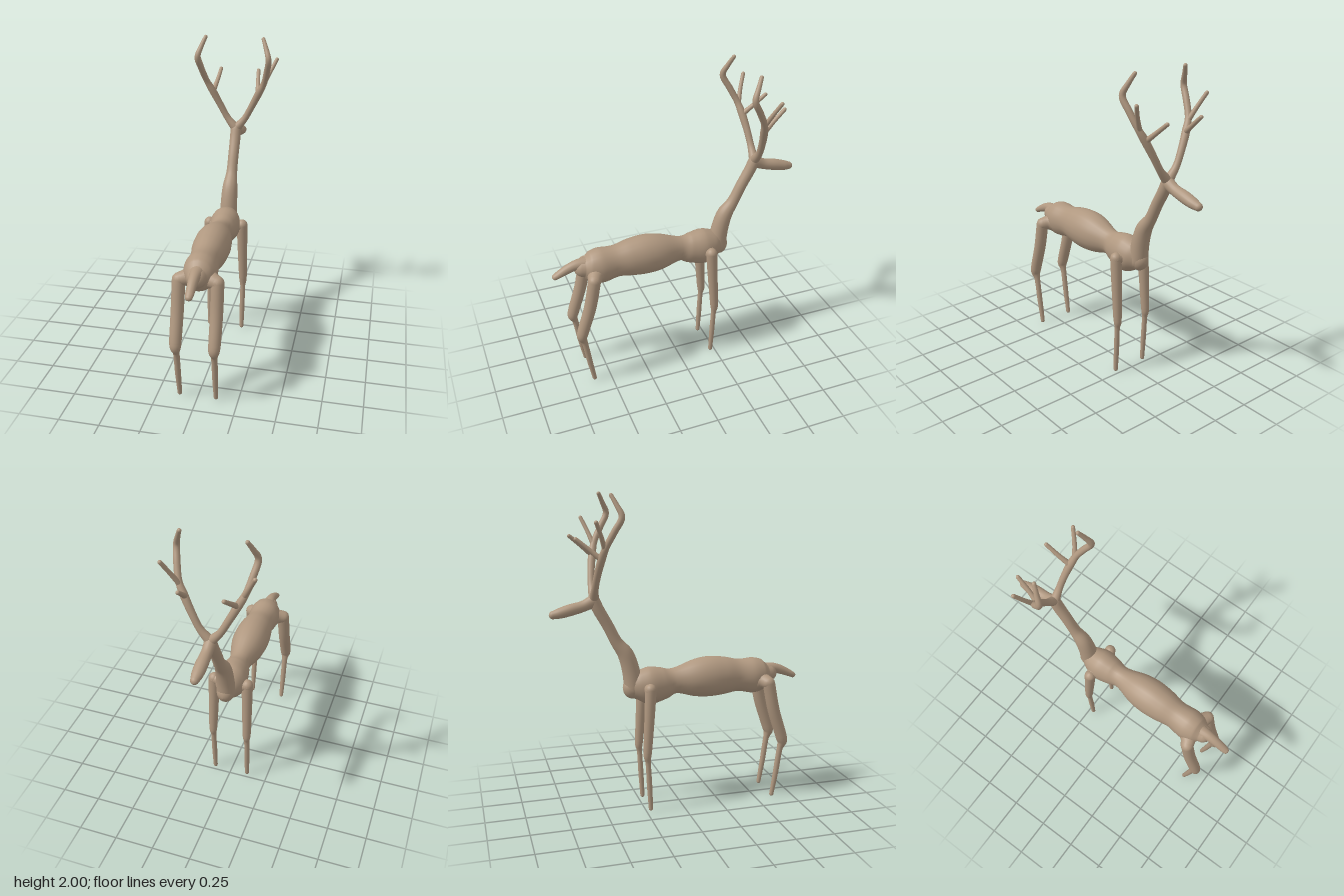
import * as THREE from 'three';

const SIDES = 20;

// Smooth closed limb through stations [x, y, z, halfWidth, halfHeight?], with rounded ends
function limbGeometry(stations, stepsPerSpan = 6) {
  const path = new THREE.CatmullRomCurve3(stations.map(([x, y, z]) => new THREE.Vector3(x, y, z)));
  const size = new THREE.CatmullRomCurve3(
    stations.map(([, , , w, h = w]) => new THREE.Vector3(w, h, 0)), false, 'catmullrom', 0.5);
  const positions = [], indices = [];

  const addRing = (t, shift, scale) => {
    const tangent = path.getTangent(t);
    const centre = path.getPoint(t).addScaledVector(tangent, shift);
    const r = size.getPoint(t);
    const side = new THREE.Vector3(1, 0, 0).addScaledVector(tangent, -tangent.x).normalize();
    const up = new THREE.Vector3().crossVectors(tangent, side);
    for (let i = 0; i < SIDES; i++) {
      const a = (i / SIDES) * Math.PI * 2;
      const p = centre.clone()
        .addScaledVector(side, Math.cos(a) * r.x * scale)
        .addScaledVector(up, Math.sin(a) * r.y * scale);
      positions.push(p.x, p.y, p.z);
    }
  };

  const capSteps = 5;
  const capDepth = (t) => Math.min(size.getPoint(t).x, size.getPoint(t).y);
  for (let k = 0; k < capSteps; k++) {
    const a = (k / capSteps) * Math.PI / 2;
    addRing(0, -capDepth(0) * Math.cos(a), Math.max(Math.sin(a), 0.001));
  }
  const steps = (stations.length - 1) * stepsPerSpan;
  for (let k = 0; k <= steps; k++) addRing(k / steps, 0, 1);
  for (let k = 1; k <= capSteps; k++) {
    const a = (k / capSteps) * Math.PI / 2;
    addRing(1, capDepth(1) * Math.sin(a), Math.max(Math.cos(a), 0.001));
  }

  const rings = positions.length / 3 / SIDES;
  for (let j = 0; j < rings - 1; j++) {
    for (let i = 0; i < SIDES; i++) {
      const n = (i + 1) % SIDES;
      const a = j * SIDES + i, b = j * SIDES + n, c = a + SIDES, d = b + SIDES;
      indices.push(a, b, c, b, d, c);
    }
  }
  const geometry = new THREE.BufferGeometry();
  geometry.setAttribute('position', new THREE.Float32BufferAttribute(positions, 3));
  geometry.setIndex(indices);
  geometry.computeVertexNormals();
  return geometry;
}

export function createModel() {
  const model = new THREE.Group();
  model.name = 'deer';
  const hide = new THREE.MeshStandardMaterial({ color: 0xb09880 });
  hide.name = 'tan hide';

  const add = (name, stations, parent = model) => {
    const mesh = new THREE.Mesh(limbGeometry(stations), hide);
    mesh.name = name;
    parent.add(mesh);
  };

  // Trunk: rump, barrel, waist and chest
  add('body', [
    [0, 0.825, 0.61, 0.06, 0.06],
    [0, 0.82, 0.57, 0.088, 0.1],
    [0, 0.817, 0.5, 0.102, 0.117],
    [0, 0.824, 0.4, 0.092, 0.106],
    [0, 0.829, 0.3, 0.108, 0.123],
    [0, 0.83, 0.2, 0.115, 0.131],
    [0, 0.825, 0.1, 0.105, 0.119],
    [0, 0.818, -0.03, 0.07, 0.083],
    [0, 0.807, -0.1, 0.085, 0.103],
    [0, 0.8, -0.19, 0.1, 0.12],
    [0, 0.798, -0.26, 0.085, 0.1],
    [0, 0.79, -0.31, 0.055, 0.068],
  ]);

  // Neck, thick at the root and slim above
  add('neck', [
    [0, 0.79, -0.297, 0.06],
    [0, 0.9, -0.312, 0.056],
    [0, 1.01, -0.345, 0.05],
    [0, 1.09, -0.4, 0.037],
    [0, 1.2, -0.455, 0.035],
    [0, 1.3, -0.51, 0.036],
    [0, 1.36, -0.537, 0.036],
  ]);

  add('head', [
    [0, 1.355, -0.535, 0.036, 0.04],
    [0, 1.325, -0.6, 0.033, 0.034],
    [0, 1.305, -0.68, 0.037, 0.036],
    [0, 1.288, -0.745, 0.034, 0.032],
    [0, 1.279, -0.785, 0.025, 0.025],
  ]);

  add('tail', [
    [0, 0.845, 0.58, 0.05],
    [0, 0.853, 0.65, 0.034],
    [0, 0.835, 0.71, 0.029],
    [0, 0.805, 0.775, 0.025, 0.021],
    [0, 0.797, 0.79, 0.022, 0.019],
  ]);

  // Paired parts
  for (const [sideName, s] of [['left', 1], ['right', -1]]) {
    const part = (name, stations, parent) =>
      add(`${sideName} ${name}`, stations.map(([x, ...rest]) => [x * s, ...rest]), parent);

    part('shoulder', [[0.04, 0.79, -0.2, 0.06], [0.08, 0.795, -0.21, 0.042], [0.11, 0.795, -0.215, 0.035]]);
    part('front leg', [
      [0.11, 0.8, -0.213, 0.036],
      [0.113, 0.6, -0.225, 0.032],
      [0.116, 0.4, -0.238, 0.027],
      [0.116, 0.365, -0.24, 0.024],
      [0.116, 0.325, -0.236, 0.017],
      [0.115, 0.17, -0.228, 0.017],
      [0.114, 0.014, -0.22, 0.014],
    ]);

    part('hip', [[0.04, 0.79, 0.53, 0.07], [0.08, 0.79, 0.555, 0.05], [0.113, 0.785, 0.57, 0.042]]);
    part('hind leg', [
      [0.116, 0.785, 0.572, 0.04],
      [0.118, 0.6, 0.61, 0.039],
      [0.118, 0.42, 0.667, 0.037],
      [0.117, 0.38, 0.676, 0.033],
      [0.116, 0.335, 0.663, 0.02],
      [0.115, 0.17, 0.638, 0.018],
      [0.114, 0.014, 0.612, 0.014],
    ]);

    // Antler: main beam with two tines
    const antler = new THREE.Group();
    antler.name = `${sideName} antler`;
    model.add(antler);
    part('antler beam', [
      [0.008, 1.37, -0.536, 0.03],
      [0.06, 1.435, -0.538, 0.022],
      [0.105, 1.52, -0.53, 0.022],
      [0.155, 1.62, -0.512, 0.024],
      [0.19, 1.69, -0.492, 0.02],
      [0.215, 1.78, -0.447, 0.02],
      [0.23, 1.865, -0.405, 0.019],
      [0.21, 1.93, -0.43, 0.015],
      [0.187, 1.986, -0.457, 0.012],
    ], antler);
    part('outer tine', [
      [0.182, 1.675, -0.497, 0.016],
      [0.225, 1.76, -0.527, 0.013],
      [0.262, 1.838, -0.56, 0.012],
    ], antler);
    part('front tine', [
      [0.152, 1.615, -0.51, 0.018],
      [0.138, 1.67, -0.575, 0.014],
      [0.127, 1.737, -0.655, 0.012],
    ], antler);
  }
  return model;
}
